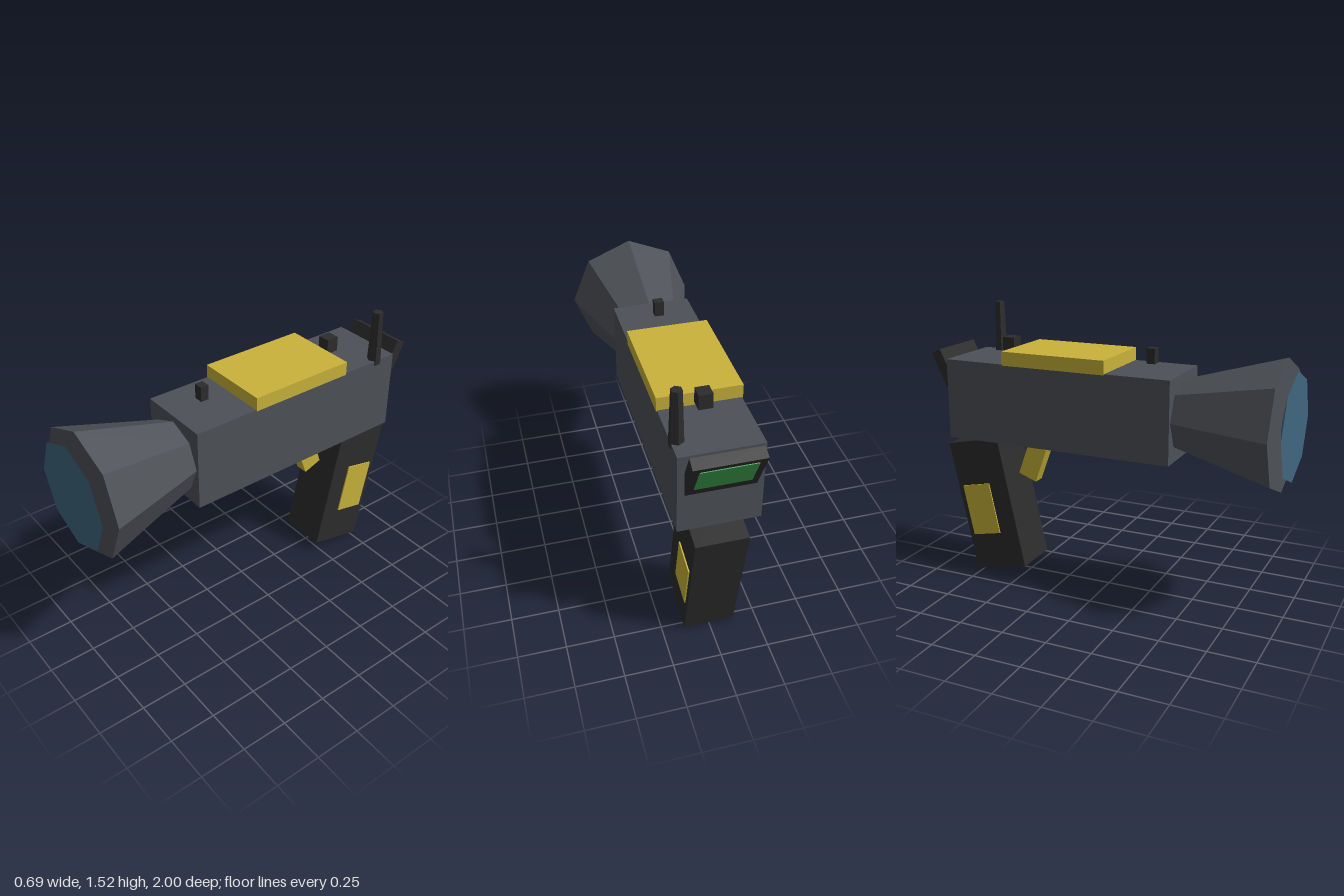
import * as THREE from 'three';

const mat = (name, color) => {
  const m = new THREE.MeshStandardMaterial({ color, flatShading: true });
  m.name = name;
  return m;
};

export function createModel() {
  const grey = mat('slate grey', 0x4d5157);
  const dark = mat('charcoal', 0x2c2c2d);
  const yellow = mat('mustard yellow', 0xc9b23a);
  const blue = mat('lens blue', 0x40667f);
  const green = mat('screen green', 0x40a552);

  const model = new THREE.Group();
  model.name = 'scannerGun';

  const add = (name, geometry, material, position, tilt = 0, parent = model) => {
    const mesh = new THREE.Mesh(geometry, material);
    mesh.name = name;
    mesh.position.set(...position);
    mesh.rotation.x = tilt;
    parent.add(mesh);
    return mesh;
  };
  const box = (w, h, d) => new THREE.BoxGeometry(w, h, d);
  const tiltedGroup = (name, position, tilt) => {
    const group = new THREE.Group();
    group.name = name;
    group.position.set(...position);
    group.rotation.x = tilt;
    model.add(group);
    return group;
  };

  // Main housing with the top cover
  add('body', box(0.41, 0.44, 1.3), grey, [0, 1.035, -0.23]);
  add('topCover', box(0.42, 0.075, 0.595), yellow, [0, 1.2875, -0.2325]);

  // Octagonal horn and the lens, a shallow cone with its flat side forward
  add('horn', new THREE.CylinderGeometry(0.343, 0.19, 0.53, 8), grey, [0, 1.033, 0.685], Math.PI / 2);
  add('lens', new THREE.CylinderGeometry(0.283, 0, 0.07, 8), blue, [0, 1.033, 0.965], Math.PI / 2);

  // Sights above the housing
  add('frontSight', box(0.05, 0.08, 0.045), dark, [0, 1.33, 0.245]);
  add('rearSight', box(0.07, 0.08, 0.07), dark, [0, 1.33, -0.587]);

  // Antenna
  add('antenna', new THREE.CylinderGeometry(0.028, 0.038, 0.3, 6), dark, [0.177, 1.38, -0.763]);

  // Tilted rear display
  const display = tiltedGroup('display', [0, 1.165, -0.914], -0.456);
  add('displayFrame', box(0.34, 0.27, 0.06), dark, [0, 0, 0], 0, display);
  add('displayScreen', box(0.27, 0.18, 0.006), green, [0, 0.015, -0.031], 0, display);

  // Raked grip with a panel on each side
  const grip = tiltedGroup('grip', [0, 0.412, -0.705], -0.21);
  add('gripBody', box(0.266, 0.762, 0.322), dark, [0, 0, 0], 0, grip);
  for (const [name, side] of [['leftGripPanel', 1], ['rightGripPanel', -1]]) {
    add(name, box(0.008, 0.297, 0.176), yellow, [side * 0.136, -0.023, -0.042], 0, grip);
  }

  // Trigger
  add('trigger', box(0.07, 0.205, 0.113), yellow, [0, 0.675, -0.457], 0.35);

  return model;
}
